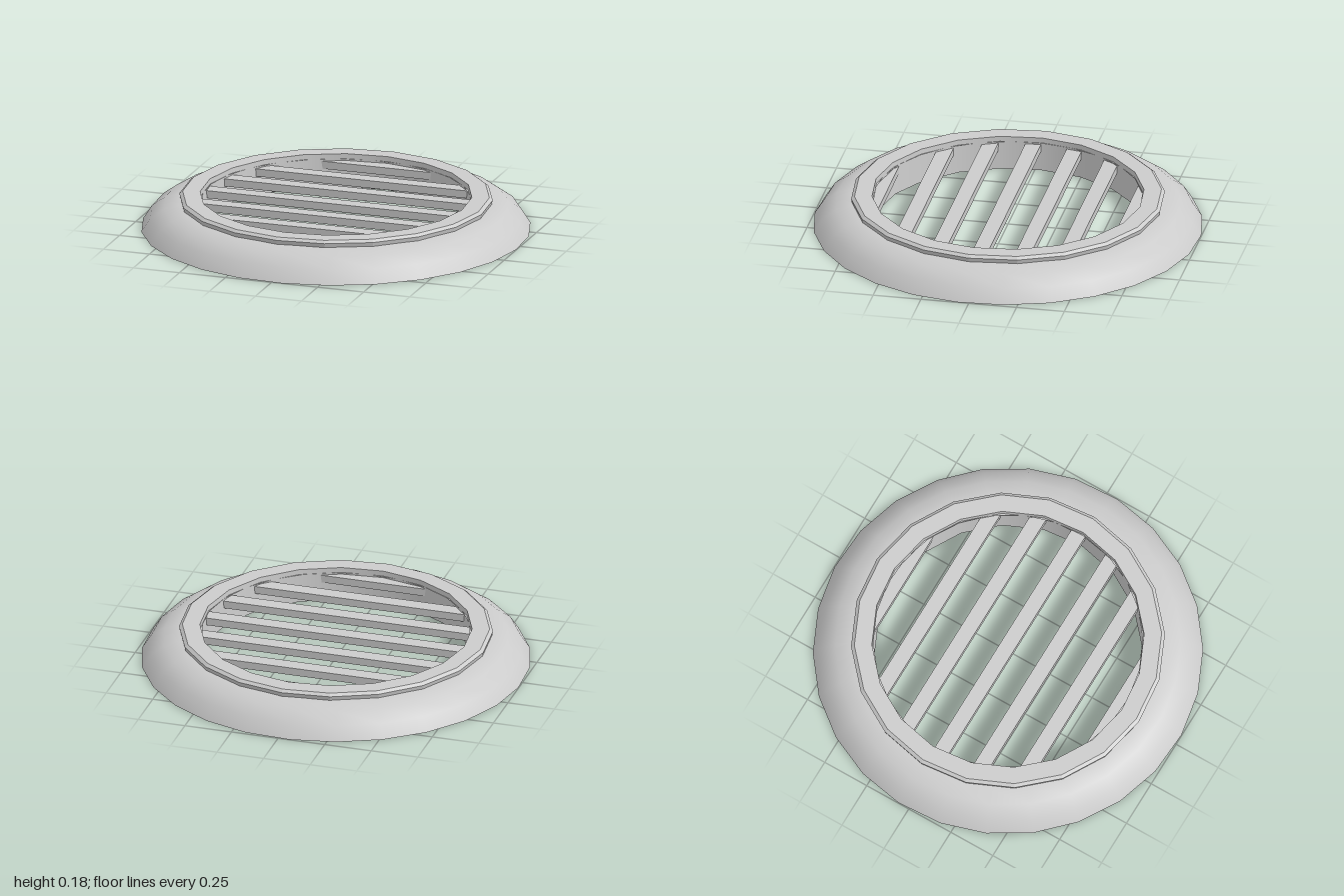
import * as THREE from 'three';

const DEG = Math.PI / 180;

function material(flatShading = false) {
  return new THREE.MeshStandardMaterial({ color: 0xcccccc, flatShading, side: THREE.DoubleSide });
}

// Revolves a [radius, height] profile around the vertical axis
function revolve(name, profile, sides, phase, flat) {
  const points = profile.map(([r, y]) => new THREE.Vector2(r, y));
  const mesh = new THREE.Mesh(
    new THREE.LatheGeometry(points, sides, phase * DEG, Math.PI * 2),
    material(flat)
  );
  mesh.name = name;
  return mesh;
}

export function createModel() {
  const model = new THREE.Group();
  model.name = 'roundVentCover';

  // Thin domed skirt, open underneath
  model.add(revolve('domedFlange', [
    [1, 0], [0.955, 0.07], [0.885, 0.12], [0.81, 0.14], [0.69, 0.15],
  ], 26, 3.4, false));

  // Raised bevelled rim around the opening
  model.add(revolve('raisedRim', [
    [0.8, 0.14], [0.805, 0.163], [0.788, 0.176], [0.698, 0.176],
  ], 20, -3, true));

  // Inner sleeve running down through the opening
  model.add(revolve('innerSleeve', [
    [0.698, 0.176], [0.686, 0],
  ], 20, -3, false));

  // Horizontal slats, trimmed so their ends just pass through the sleeve
  const slats = new THREE.Group();
  slats.name = 'slats';
  const centres = [-0.66, -0.425, -0.21, 0.01, 0.228, 0.44, 0.668];
  centres.forEach((z, i) => {
    const halfLength = Math.sqrt(0.73 ** 2 - z ** 2);
    const slat = new THREE.Mesh(new THREE.BoxGeometry(halfLength * 2, 0.04, 0.08), material());
    slat.name = `slat${i + 1}`;
    slat.position.set(-0.005, 0.12, z);
    slats.add(slat);
  });
  model.add(slats);

  return model;
}
